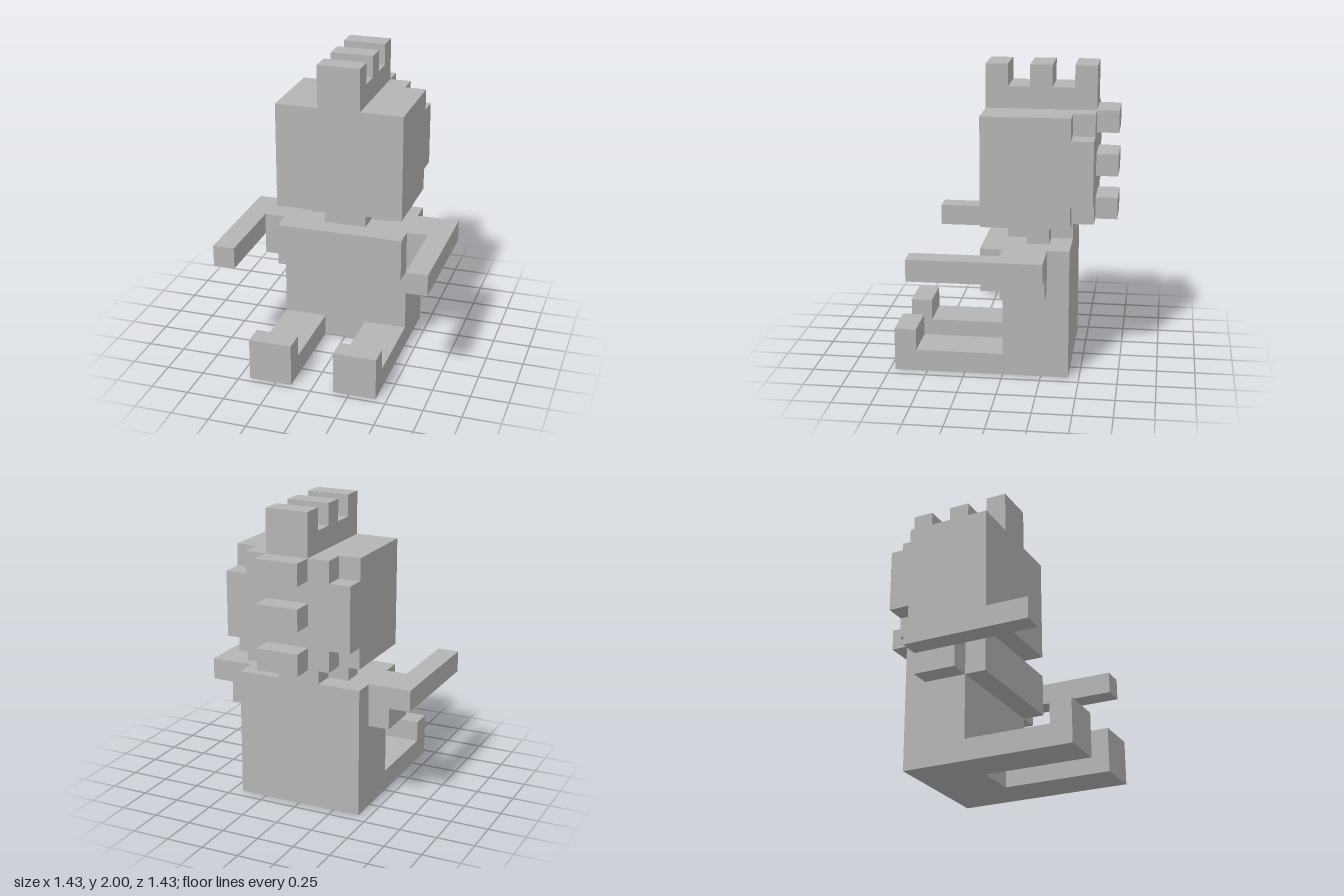
import * as THREE from 'three';

const U = 1 / 7; // one block of the model's grid

const grey = new THREE.MeshStandardMaterial({ color: 0xb4b4b4 });
grey.name = 'plain grey';

export function createModel() {
  const model = new THREE.Group();
  model.name = 'blockFigure';

  const add = (name, geometry) => {
    geometry.scale(U, U, U);
    const mesh = new THREE.Mesh(geometry, grey);
    mesh.name = name;
    model.add(mesh);
  };

  // Box between two limits on each axis, in blocks
  const box = (name, [x0, x1], [y0, y1], [z0, z1]) =>
    add(name, new THREE.BoxGeometry(x1 - x0, y1 - y0, z1 - z0)
      .translate((x0 + x1) / 2, (y0 + y1) / 2, (z0 + z1) / 2));

  const extrude = (points, depth) => new THREE.ExtrudeGeometry(
    new THREE.Shape(points.map(([a, b]) => new THREE.Vector2(a, b))),
    { depth, bevelEnabled: false });

  // Outline in (z, y) swept along x
  const sideProfile = (name, points, x0, x1) =>
    add(name, extrude(points, x1 - x0).rotateY(-Math.PI / 2).translate(x1, 0, 0));

  // Outline in (x, z) swept along y
  const topProfile = (name, points, y0, y1) =>
    add(name, extrude(points, y1 - y0).rotateX(Math.PI / 2).translate(0, y1, 0));

  // Head, with its four rear corners notched
  box('head', [-3, 3], [7, 12], [-3, 1]);
  add('headBack', extrude([
    [-2, 7], [2, 7], [2, 8], [3, 8], [3, 11], [2, 11],
    [2, 12], [-2, 12], [-2, 11], [-3, 11], [-3, 8], [-2, 8],
  ], 1).translate(0, 0, -4));

  // Toothed crest over the top and spikes down the back
  sideProfile('crest', [
    [1, 12], [1, 14], [0, 14], [0, 13], [-1, 13], [-1, 14], [-2, 14],
    [-2, 13], [-3, 13], [-3, 14], [-4, 14], [-4, 12],
  ], -1, 1);
  for (const y of [7, 9, 11]) box('backSpike', [-1, 1], [y, y + 1], [-5, -4]);

  // Cross-shaped neck
  topProfile('neck', [
    [-1, 0], [1, 0], [1, -1], [2, -1], [2, -2], [1, -2],
    [1, -3], [-1, -3], [-1, -2], [-2, -2], [-2, -1], [-1, -1],
  ], 6, 7);

  // Torso with the overhanging chest
  sideProfile('torso', [[-3, 0], [0, 0], [0, 4], [1, 4], [1, 6], [-3, 6]], -3, 3);

  // Paired limbs
  for (const [side, s] of [['left', 1], ['right', -1]]) {
    const span = (a, b) => (s > 0 ? [a, b] : [-b, -a]);
    box(side + 'Shoulder', span(3, 4), [4, 5], [-2, 0]);
    topProfile(side + 'Arm',
      [[3, -2], [5, -2], [5, 4], [4, 4], [4, 0], [3, 0]].map(([x, z]) => [s * x, z]), 5, 6);
    sideProfile(side + 'Leg',
      [[0, 0], [5, 0], [5, 2], [4, 2], [4, 1], [0, 1]], ...span(1, 3));
  }

  return model;
}
